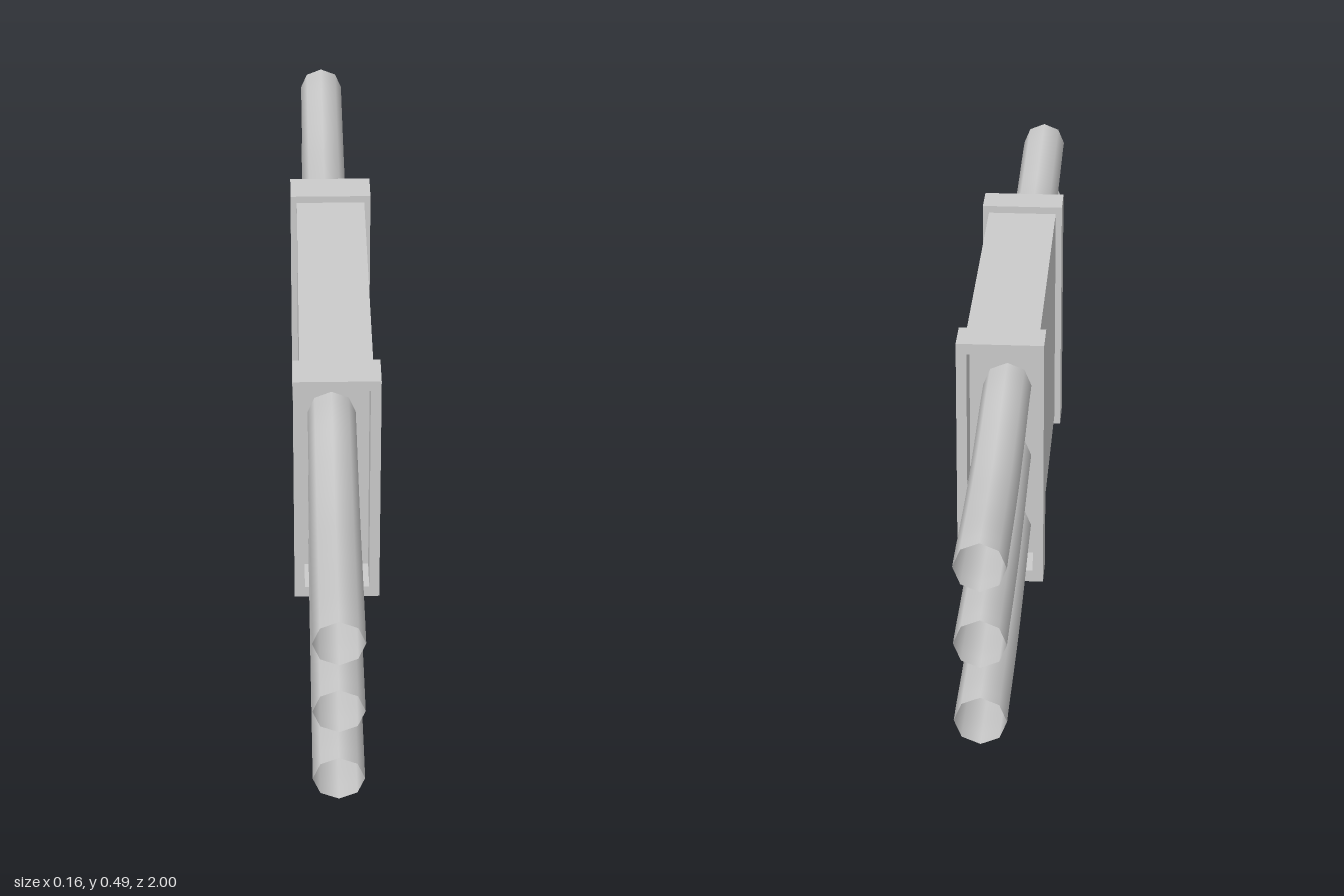
import * as THREE from 'three';

const grey = new THREE.MeshStandardMaterial({ color: 0xcccccc });
const greyOpen = new THREE.MeshStandardMaterial({ color: 0xcccccc, side: THREE.DoubleSide });

function add(parent, name, geometry, material = grey) {
  const mesh = new THREE.Mesh(geometry, material);
  mesh.name = name;
  parent.add(mesh);
  return mesh;
}

// Rectangular frame with a rectangular opening, extruded along z
function frameGeometry(halfW, y0, y1, holeHalfW, h0, h1, depth) {
  const shape = new THREE.Shape([
    new THREE.Vector2(-halfW, y0), new THREE.Vector2(halfW, y0),
    new THREE.Vector2(halfW, y1), new THREE.Vector2(-halfW, y1),
  ]);
  shape.holes.push(new THREE.Path([
    new THREE.Vector2(-holeHalfW, h0), new THREE.Vector2(-holeHalfW, h1),
    new THREE.Vector2(holeHalfW, h1), new THREE.Vector2(holeHalfW, h0),
  ]));
  return new THREE.ExtrudeGeometry(shape, { depth, bevelEnabled: false });
}

// Gently sagging open tube along z
function cableGeometry(y, stations) {
  const sag = [0, -0.001, -0.010, -0.0165, -0.012, -0.001, 0];
  const points = stations.map((z, i) => new THREE.Vector3(-0.009, y + sag[i], z));
  return new THREE.TubeGeometry(new THREE.CatmullRomCurve3(points), 24, 0.045, 8, false);
}

export function createModel() {
  const model = new THREE.Group();
  model.name = 'cableConnector';

  // Housing between the two collars
  const body = add(model, 'housing', new THREE.BoxGeometry(0.137, 0.459, 0.612));
  body.position.set(0, 0.247, 0.007);

  // Raised collars with a recessed opening at each end
  const collar = frameGeometry(0.081, 0, 0.491, 0.0615, 0.023, 0.47, 0.073);
  add(model, 'frontCollar', collar).position.z = 0.312;
  add(model, 'backCollar', collar).position.z = -0.371;

  // Three cables leaving each end
  const front = [1, 0.95, 0.8, 0.65, 0.5, 0.37, 0.31];
  const back = [-1, -0.95, -0.83, -0.69, -0.53, -0.37, -0.297];
  [0.083, 0.232, 0.377].forEach((y, i) => {
    add(model, `frontCable${i + 1}`, cableGeometry(y, front), greyOpen);
    add(model, `backCable${i + 1}`, cableGeometry(y, back), greyOpen);
  });

  return model;
}
